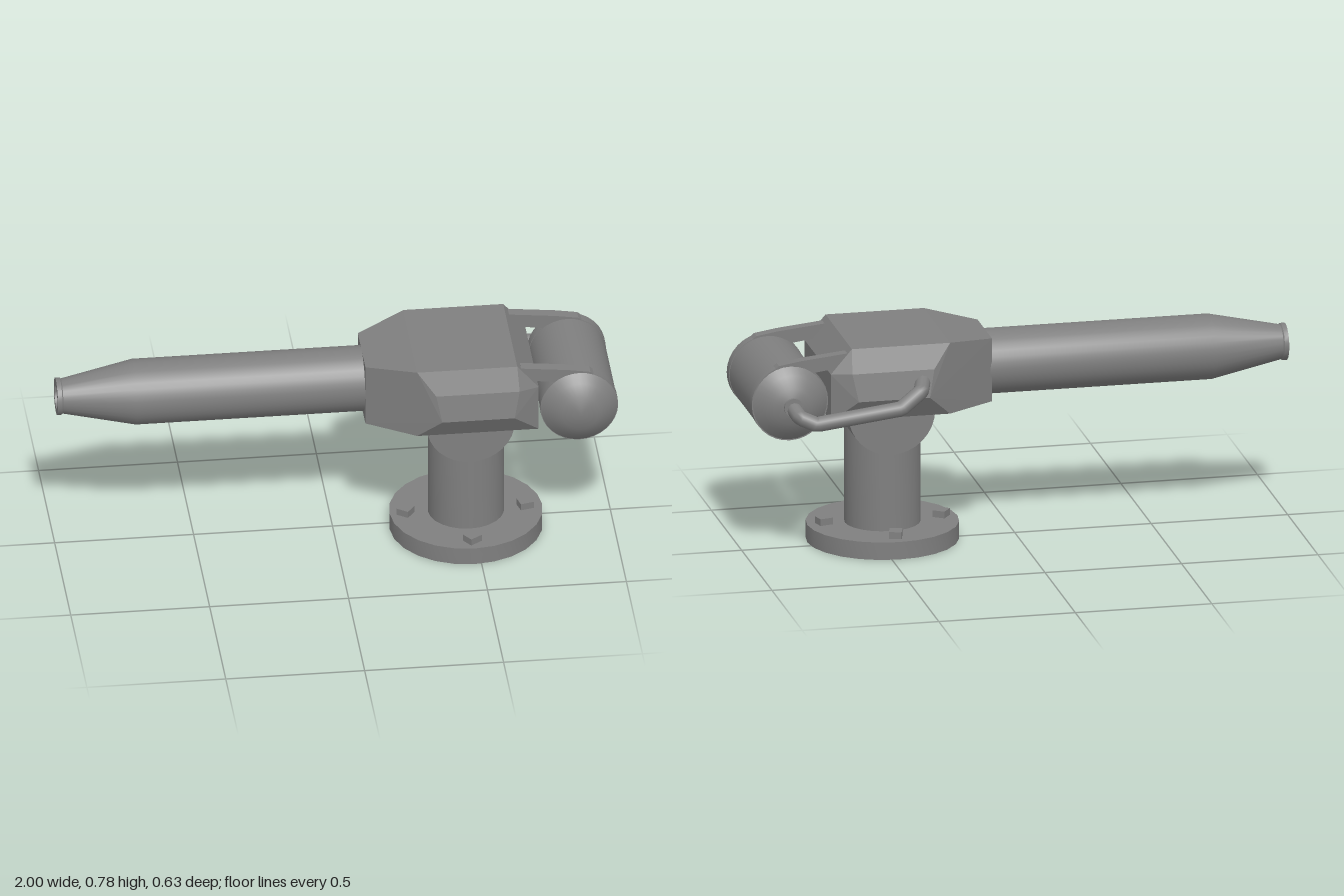
import * as THREE from 'three';
import { ConvexGeometry } from 'three/addons/geometries/ConvexGeometry.js';
import { toCreasedNormals } from 'three/addons/utils/BufferGeometryUtils.js';

const ZC = 0.043; // centre plane of the main assembly
const V2 = (p) => p.map(([a, b]) => new THREE.Vector2(a, b));

export function createModel() {
  const model = new THREE.Group();
  const solid = new THREE.MeshStandardMaterial({ color: 0x7f7f7f });
  const faceted = new THREE.MeshStandardMaterial({ color: 0x7f7f7f, flatShading: true });

  const add = (name, geometry, material = solid, x = 0, y = 0, z = ZC) => {
    const mesh = new THREE.Mesh(geometry, material);
    mesh.name = name;
    mesh.position.set(x, y, z);
    model.add(mesh);
    return mesh;
  };
  // Profile points are [radius, height], listed bottom to top on the outside
  const lathe = (profile, segments) =>
    toCreasedNormals(new THREE.LatheGeometry(V2(profile), segments), 0.5);

  // Hollow pedestal with its mounting flange
  add('pedestal', lathe([
    [0.133, 0.44], [0.133, 0], [0.275, 0], [0.275, 0.065],
    [0.137, 0.065], [0.137, 0.53],
  ], 24), solid, 0.475);

  // Flange bolts
  for (let i = 0; i < 4; i++) {
    const a = (i * Math.PI) / 2;
    const bolt = add('flangeBolt', new THREE.BoxGeometry(0.05, 0.035, 0.046), faceted,
      0.473 + 0.215 * Math.cos(a), 0.0725, 0.048 + 0.215 * Math.sin(a));
    bolt.rotation.y = 0.25 + i * 0.35;
  }

  // Cross trunnion under the housing
  const trunnion = add('trunnion',
    toCreasedNormals(new THREE.CylinderGeometry(0.159, 0.159, 0.314, 32), 0.5),
    solid, 0.475, 0.515);
  trunnion.rotation.x = Math.PI / 2;

  // Faceted housing, [x, y, half width]
  const corners = [
    [0.1, 0.52, 0.118], [0.1, 0.755, 0.118],
    [0.275, 0.78, 0.217], [0.635, 0.78, 0.217],
    [0.275, 0.515, 0.217], [0.712, 0.515, 0.217], [0.712, 0.69, 0.217],
    [0.34, 0.695, 0.25], [0.64, 0.695, 0.25],
    [0.36, 0.595, 0.267], [0.62, 0.595, 0.267],
  ];
  add('housing', new ConvexGeometry(corners.flatMap(([x, y, w]) =>
    [1, -1].map((s) => new THREE.Vector3(x, y, s * w)))), faceted);

  // Barrel with tapered nose, muzzle lip and bore
  const barrel = add('barrel', lathe([
    [0, -0.02], [0.118, -0.02], [0.118, 0.82], [0.063, 1.08], [0.067, 1.084],
    [0.067, 1.1], [0.045, 1.1], [0.04, 0.9], [0, 0.9],
  ], 32), solid, 0.1, 0.637, 0.039);
  barrel.rotation.z = Math.PI / 2;

  // Rear drum with domed ends
  const drum = add('drum', lathe([
    [0, -0.267], [0.067, -0.257], [0.108, -0.232], [0.138, -0.206],
    [0.138, 0.206], [0.108, 0.232], [0.067, 0.257], [0, 0.267],
  ], 32), solid, 0.86, 0.592, 0.041);
  drum.rotation.x = Math.PI / 2;

  // Drum straps: a band around the drum and a bar running to the housing
  const bar = new THREE.Shape(V2([
    [0.65, 0.715], [0.83, 0.69], [0.92, 0.715], [0.9, 0.732], [0.82, 0.745], [0.65, 0.763],
  ]));
  for (const s of [1, -1]) {
    const z = 0.04 + s * 0.187;
    add('strapBar', new THREE.ExtrudeGeometry(bar, { depth: 0.04, bevelEnabled: false }),
      faceted, 0, 0, z - 0.02);
    const band = add('strapBand',
      toCreasedNormals(new THREE.CylinderGeometry(0.14, 0.14, 0.04, 32), 0.5),
      solid, 0.86, 0.592, z);
    band.rotation.x = Math.PI / 2;
  }

  // Feed pipe along the rear side, with collar at the drum
  const path = new THREE.CurvePath();
  const stops = [
    [0.375, 0.655, -0.18], [0.4, 0.632, -0.26], [0.48, 0.58, -0.287],
    [0.79, 0.542, -0.287], [0.845, 0.565, -0.27], [0.862, 0.592, -0.2],
  ].map((p) => new THREE.Vector3(...p));
  for (let i = 1; i < stops.length; i++) path.add(new THREE.LineCurve3(stops[i - 1], stops[i]));
  add('feedPipe', new THREE.TubeGeometry(path, 60, 0.028, 12), solid, 0, 0, 0);
  const collar = add('pipeCollar',
    toCreasedNormals(new THREE.CylinderGeometry(0.034, 0.034, 0.03, 16), 0.5),
    solid, 0.86, 0.592, -0.216);
  collar.rotation.x = Math.PI / 2;

  return model;
}
